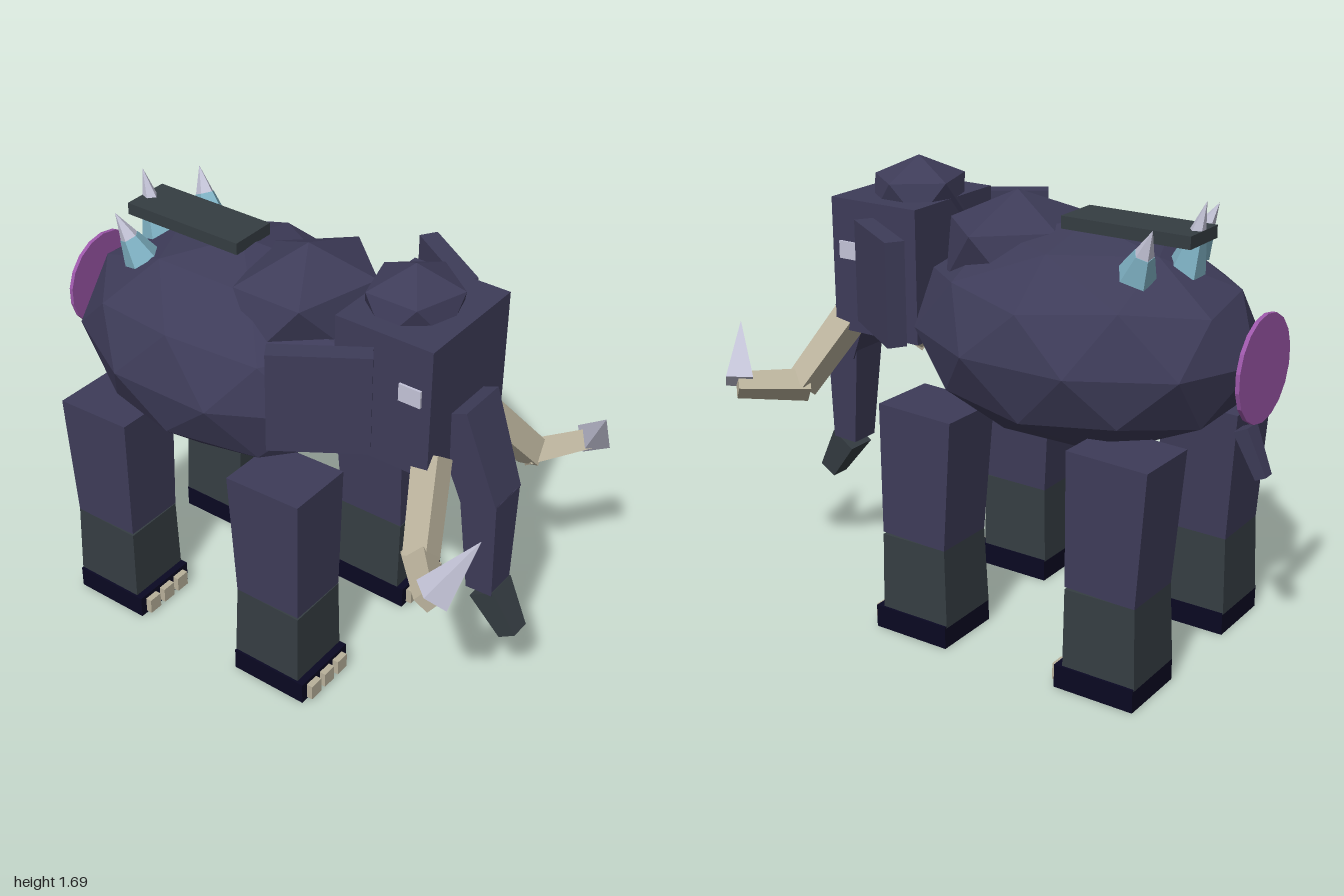
import * as THREE from 'three';

const mat = (name, color) => {
  const m = new THREE.MeshStandardMaterial({ color });
  m.name = name;
  return m;
};

export function createModel() {
  const hide = mat('dusky violet hide', 0x3e3c59);
  const slate = mat('slate', 0x353d42);
  const sole = mat('midnight sole', 0x0a0822);
  const bone = mat('bone', 0xb9b19b);
  const pale = mat('pale lavender', 0xc4c4d8);
  const ice = mat('ice blue', 0x7fb2c4);
  const orchid = mat('orchid', 0x9c57a9);

  const model = new THREE.Group();
  model.name = 'tuskedBeast';
  const V = (x, y, z) => new THREE.Vector3(x, y, z);
  const UP = V(0, 1, 0), DOWN = V(0, -1, 0);

  const add = (name, geo, material, parent = model) => {
    const flat = geo.index ? geo.toNonIndexed() : geo;
    flat.computeVertexNormals();
    const mesh = new THREE.Mesh(flat, material);
    mesh.name = name;
    parent.add(mesh);
    return mesh;
  };
  const group = (name) => {
    const g = new THREE.Group();
    g.name = name;
    model.add(g);
    return g;
  };
  const box = (name, material, size, pos, parent) => {
    const m = add(name, new THREE.BoxGeometry(...size), material, parent);
    m.position.set(...pos);
    return m;
  };
  // faceted ball with one corner pointing straight up
  const ball = (name, detail, radii, pos) => {
    const geo = new THREE.IcosahedronGeometry(1, detail)
      .rotateX(-Math.atan((1 + Math.sqrt(5)) / 2)).rotateY(Math.PI / 2)
      .scale(...radii).translate(...pos);
    return add(name, geo, hide);
  };
  // tapered box from a to b; s0 and s1 are [width, depth] at each end
  const limb = (name, material, a, b, s0, s1, parent) => {
    const dir = b.clone().sub(a), len = dir.length();
    const geo = new THREE.BoxGeometry(1, len, 1), p = geo.attributes.position;
    for (let i = 0; i < p.count; i++) {
      const s = p.getY(i) > 0 ? s0 : s1;
      p.setX(i, p.getX(i) * s[0]);
      p.setZ(i, p.getZ(i) * s[1]);
    }
    const m = add(name, geo, material, parent);
    m.position.copy(a).lerp(b, 0.5);
    m.quaternion.setFromUnitVectors(DOWN, dir.normalize());
    return m;
  };
  // cone or cut cone from a to b
  const cone = (name, material, a, b, r0, r1, sides, parent) => {
    const dir = b.clone().sub(a);
    const m = add(name, new THREE.CylinderGeometry(r1, r0, dir.length(), sides), material, parent);
    m.position.copy(a).lerp(b, 0.5);
    m.quaternion.setFromUnitVectors(UP, dir.normalize());
    return m;
  };

  // body, hump and head
  ball('body', 1, [0.505, 0.4, 0.66], [0, 1.145, -0.27]);
  ball('shoulderHump', 0, [0.335, 0.2, 0.265], [0, 1.42, 0.02]);
  box('head', hide, [0.466, 0.5, 0.38], [0, 1.3, 0.49]);
  ball('headDome', 0, [0.2, 0.14, 0.19], [0, 1.55, 0.455]);

  // trunk
  const trunk = group('trunk');
  limb('trunkUpper', hide, V(0, 1.24, 0.667), V(0, 0.895, 0.8), [0.2, 0.15], [0.165, 0.14], trunk);
  limb('trunkMiddle', hide, V(0, 0.92, 0.792), V(0, 0.512, 0.813), [0.155, 0.145], [0.12, 0.105], trunk);
  limb('trunkTip', slate, V(0, 0.505, 0.825), V(0, 0.345, 0.93), [0.12, 0.11], [0.078, 0.075], trunk);

  // paired parts
  for (const s of [1, -1]) {
    const side = s > 0 ? 'left' : 'right';

    const ear = box(side + 'Ear', hide, [0.07, 0.375, 0.345], [s * 0.38, 1.317, 0.345]);
    ear.rotation.y = -s * 0.58;
    box(side + 'Eye', pale, [0.02, 0.065, 0.085], [s * 0.232, 1.36, 0.602]);

    const tusk = group(side + 'Tusk');
    limb('tuskRoot', bone, V(s * 0.165, 1.095, 0.655), V(s * 0.365, 0.845, 0.755), [0.1, 0.1], [0.095, 0.09], tusk);
    limb('tuskBend', bone, V(s * 0.345, 0.845, 0.735), V(s * 0.545, 0.87, 0.905), [0.09, 0.09], [0.07, 0.075], tusk);
    cone('tuskPoint', pale, V(s * 0.535, 0.88, 0.905), V(s * 0.41, 1.067, 1), 0.07, 0, 4, tusk);

    // legs: front pair and back pair
    for (const [end, z] of [['Front', 0], ['Back', -0.785]]) {
      const leg = group(side + end + 'Leg');
      limb('upperLeg', hide, V(s * 0.318, 0.885, z + 0.155), V(s * 0.327, 0.385, z + 0.172), [0.268, 0.31], [0.248, 0.275], leg);
      limb('lowerLeg', slate, V(s * 0.327, 0.385, z + 0.172), V(s * 0.325, 0.08, z + 0.168), [0.248, 0.275], [0.264, 0.288], leg);
      box('foot', sole, [0.275, 0.088, 0.315], [s * 0.328, 0.044, z + 0.183], leg);
      for (const x of [0.247, 0.328, 0.409]) {
        box('toe', bone, [0.057, 0.062, 0.05], [s * x, 0.041, z + 0.34], leg);
      }
    }
  }

  // back plate and spikes
  box('backPlate', slate, [0.187, 0.045, 0.5], [0, 1.553, -0.47]);
  const spikes = [
    [V(0.19, 1.44, -0.575), V(0.23, 1.615, -0.655)],
    [V(-0.19, 1.44, -0.575), V(-0.23, 1.615, -0.655)],
    [V(0, 1.43, -0.655), V(0, 1.676, -0.726)],
  ];
  for (const [a, b] of spikes) {
    const spike = group('spike');
    const mid = a.clone().lerp(b, 0.48);
    cone('spikeBase', ice, a, mid, 0.07, 0.037, 5, spike);
    cone('spikeTip', pale, mid, b, 0.035, 0, 5, spike);
  }

  // rump disc and tail
  const disc = add('rumpDisc', new THREE.CylinderGeometry(0.19, 0.19, 0.015, 18), orchid);
  disc.rotation.x = Math.PI / 2;
  disc.position.set(0, 1.143, -0.957);
  limb('tail', hide, V(0, 0.922, -0.903), V(0, 0.757, -0.98), [0.075, 0.058], [0.045, 0.044]);

  return model;
}
